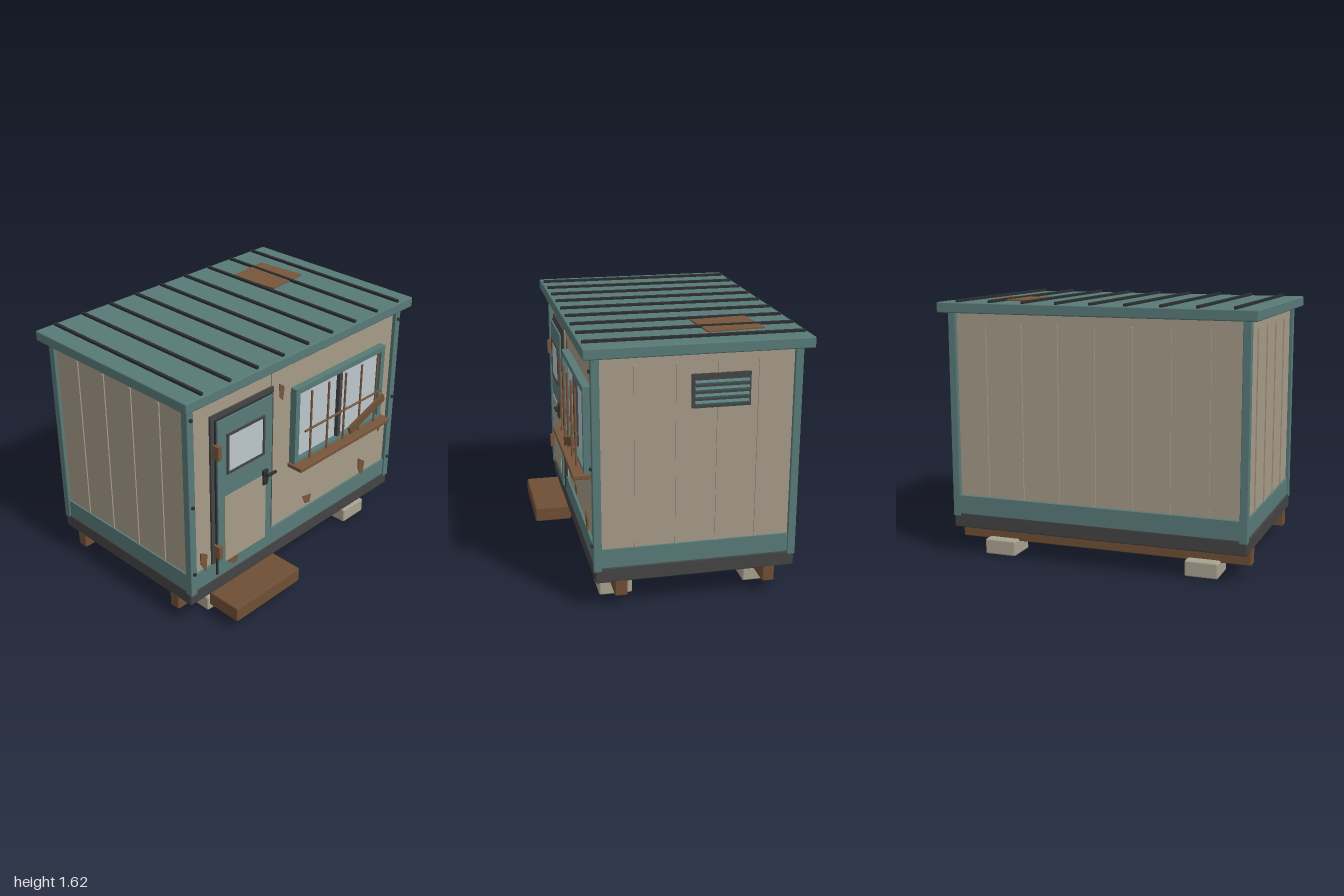
import * as THREE from 'three';
import { RoundedBoxGeometry } from 'three/addons/geometries/RoundedBoxGeometry.js';

const material = (name, color) => {
  const m = new THREE.MeshStandardMaterial({ color });
  m.name = name;
  return m;
};

export function createModel() {
  const teal = material('teal paint', 0x587a78);
  const beige = material('beige panel', 0xa69b88);
  const charcoal = material('charcoal steel', 0x444444);
  const black = material('dark rubber', 0x2c2e2f);
  const wood = material('timber', 0x6f4f35);
  const rust = material('rust', 0x78563c);
  const glass = material('glass', 0xbcc7cd);
  const concrete = material('concrete', 0xa9a290);

  const model = new THREE.Group();
  model.name = 'siteCabin';

  const add = (name, geometry, mat, parent = model) => {
    const mesh = new THREE.Mesh(geometry, mat);
    mesh.name = name;
    parent.add(mesh);
    return mesh;
  };
  const group = (name) => {
    const g = new THREE.Group();
    g.name = name;
    model.add(g);
    return g;
  };
  // Box given by its extents; a bevel chamfers the edges
  const box = (name, mat, [x0, x1], [y0, y1], [z0, z1], parent = model, bevel = 0) => {
    const size = [x1 - x0, y1 - y0, z1 - z0];
    const geometry = bevel
      ? new RoundedBoxGeometry(...size, 1, bevel)
      : new THREE.BoxGeometry(...size);
    const mesh = add(name, geometry, mat, parent);
    mesh.position.set((x0 + x1) / 2, (y0 + y1) / 2, (z0 + z1) / 2);
    return mesh;
  };
  // Rectangular frame facing +z
  const frame = (name, mat, [x0, x1], [y0, y1], [z0, z1], w, parent) => {
    const shape = new THREE.Shape();
    shape.moveTo(x0, y0).lineTo(x1, y0).lineTo(x1, y1).lineTo(x0, y1).closePath();
    const hole = new THREE.Path();
    hole.moveTo(x0 + w, y0 + w).lineTo(x0 + w, y1 - w).lineTo(x1 - w, y1 - w).lineTo(x1 - w, y0 + w).closePath();
    shape.holes.push(hole);
    const geometry = new THREE.ExtrudeGeometry(shape, { depth: z1 - z0, bevelEnabled: false });
    geometry.translate(0, 0, z0);
    return add(name, geometry, mat, parent);
  };

  // Supports: concrete blocks, timber skids and the doorstep
  const supports = group('supports');
  for (const z of [0.37, -0.53]) {
    box('skid', wood, [-0.95, 0.95], [0.085, 0.187], [z - 0.037, z + 0.037], supports, 0.008);
    for (const x of [-0.66, 0.66]) {
      box('footingBlock', concrete, [x - 0.104, x + 0.104], [0, 0.1], [z - 0.102, z + 0.102], supports, 0.012);
    }
  }
  box('doorstep', wood, [-0.78, -0.22], [0.08, 0.18], [0.5, 0.742], model, 0.01);

  // Body shell
  const body = group('body');
  box('baseFrame', charcoal, [-0.95, 0.95], [0.177, 0.272], [-0.685, 0.522], body, 0.01);
  box('walls', beige, [-0.93, 0.93], [0.265, 1.54], [-0.665, 0.505], body);
  box('skirtBand', teal, [-0.942, 0.942], [0.27, 0.385], [-0.692, 0.52], body);
  for (const x of [-0.927, 0.927]) {
    for (const z of [0.506, -0.667]) {
      box('cornerPost', teal, [x - 0.024, x + 0.024], [0.25, 1.54], [z - 0.024, z + 0.024], body, 0.004);
    }
    for (const y of [0.41, 0.885, 1.455]) {
      const bolt = add('bolt', new THREE.CylinderGeometry(0.011, 0.011, 0.014, 8), black, body);
      bolt.rotation.x = Math.PI / 2;
      bolt.position.set(x, y, 0.535);
    }
  }

  // Raised wall seams
  const seams = group('wallSeams');
  for (const side of [-1, 1]) {
    for (const z of [0.28, 0.04, -0.2, -0.44]) {
      box('sideSeam', beige, [side * 0.933 - 0.005, side * 0.933 + 0.005], [0.385, 1.475], [z - 0.007, z + 0.007], seams);
    }
  }
  for (let i = -3; i <= 3; i++) {
    const x = i * 0.237;
    box('backSeam', beige, [x - 0.007, x + 0.007], [0.385, 1.475], [-0.673, -0.663], seams);
  }
  box('frontSeam', beige, [-0.256, -0.243], [0.385, 1.54], [0.503, 0.511], seams);

  // Roof with ribs and a patch
  const roof = group('roof');
  box('roofSlab', teal, [-1, 1], [1.535, 1.6], [-0.742, 0.58], roof, 0.008);
  for (let i = -4; i <= 4; i++) {
    const x = i * 0.2165;
    box('roofRib', black, [x - 0.01, x + 0.01], [1.597, 1.617], [-0.725, 0.565], roof, 0.004);
  }
  const patch = add('roofPatch', new THREE.BoxGeometry(0.308, 0.009, 0.347), rust, roof);
  patch.position.set(0.608, 1.604, -0.333);
  patch.rotation.y = 0.095;

  // Door
  const door = group('door');
  box('doorFrame', charcoal, [-0.765, -0.247], [0.3, 1.402], [0.49, 0.519], door);
  box('doorEdge', black, [-0.738, -0.272], [0.3, 1.373], [0.5, 0.53], door);
  box('doorLeaf', teal, [-0.732, -0.278], [0.307, 1.367], [0.5, 0.54], door);
  box('doorPanel', beige, [-0.682, -0.332], [0.38, 0.845], [0.538, 0.545], door);
  frame('doorWindowFrame', charcoal, [-0.662, -0.348], [0.995, 1.262], [0.535, 0.55], 0.014, door);
  box('doorGlass', glass, [-0.65, -0.36], [1.007, 1.25], [0.536, 0.543], door);
  for (const y of [0.48, 1.175]) {
    box('hinge', rust, [-0.752, -0.722], [y - 0.046, y + 0.046], [0.515, 0.568], door, 0.004);
  }
  box('handlePlate', black, [-0.361, -0.32], [0.778, 0.882], [0.538, 0.556], door, 0.004);
  box('handleLever', black, [-0.345, -0.27], [0.842, 0.858], [0.562, 0.58], door, 0.004);
  box('handleSpindle', black, [-0.347, -0.331], [0.842, 0.858], [0.55, 0.575], door);

  // Barred window
  const win = group('window');
  frame('windowFrame', teal, [-0.08, 0.782], [0.785, 1.323], [0.5, 0.552], 0.036, win);
  box('windowGlass', glass, [-0.046, 0.748], [0.81, 1.29], [0.505, 0.518], win);
  box('mullion', charcoal, [0.339, 0.365], [0.815, 1.29], [0.515, 0.545], win);
  box('sill', rust, [-0.096, 0.8], [0.773, 0.802], [0.505, 0.62], win, 0.006);
  const bar = (name, length, x, y) => {
    const mesh = add(name, new THREE.CylinderGeometry(0.007, 0.007, length, 8), rust, win);
    mesh.position.set(x, y, 0.58);
    return mesh;
  };
  for (const x of [0.03, 0.19, 0.352, 0.51, 0.67]) bar('windowBar', 0.475, x, 1.053);
  bar('crossBar', 0.75, 0.352, 1.028).rotation.z = Math.PI / 2;
  const board = add('looseBoard', new THREE.BoxGeometry(0.36, 0.052, 0.018), wood, win);
  board.position.set(0.556, 0.928, 0.604);
  board.rotation.z = 0.33;

  // Vent on the left wall
  const vent = group('vent');
  box('ventPlate', charcoal, [0.925, 0.948], [1.21, 1.408], [-0.385, -0.042], vent);
  for (let i = 0; i < 4; i++) {
    const y = 1.242 + i * 0.04;
    const slat = box('ventSlat', teal, [0.94, 0.966], [y - 0.007, y + 0.007], [-0.373, -0.058], vent);
    slat.rotation.z = -0.5;
  }

  // Rust patches on the front: depth followed by outline points
  const stains = group('rustStains');
  const outlines = [
    [0.508, -0.185, 1.39, -0.14, 1.36, -0.152, 1.265, -0.182, 1.3],
    [0.508, 0.81, 0.84, 0.845, 0.77, 0.845, 0.65, 0.825, 0.64, 0.816, 0.75],
    [0.508, 0.06, 0.475, 0.145, 0.458, 0.13, 0.4, 0.085, 0.412],
    [0.523, 0.615, 0.525, 0.68, 0.475, 0.67, 0.385, 0.645, 0.39, 0.618, 0.44],
    [0.523, -0.865, 0.525, -0.81, 0.49, -0.822, 0.37, -0.862, 0.44],
    [0.547, -0.67, 0.378, -0.57, 0.372, -0.588, 0.33, -0.625, 0.337],
  ];
  for (const [z, ...p] of outlines) {
    const points = [];
    for (let i = 0; i < p.length; i += 2) points.push(new THREE.Vector2(p[i], p[i + 1]));
    const geometry = new THREE.ExtrudeGeometry(new THREE.Shape(points), { depth: 0.008, bevelEnabled: false });
    add('rustStain', geometry, rust, stains).position.z = z - 0.007;
  }

  return model;
}
